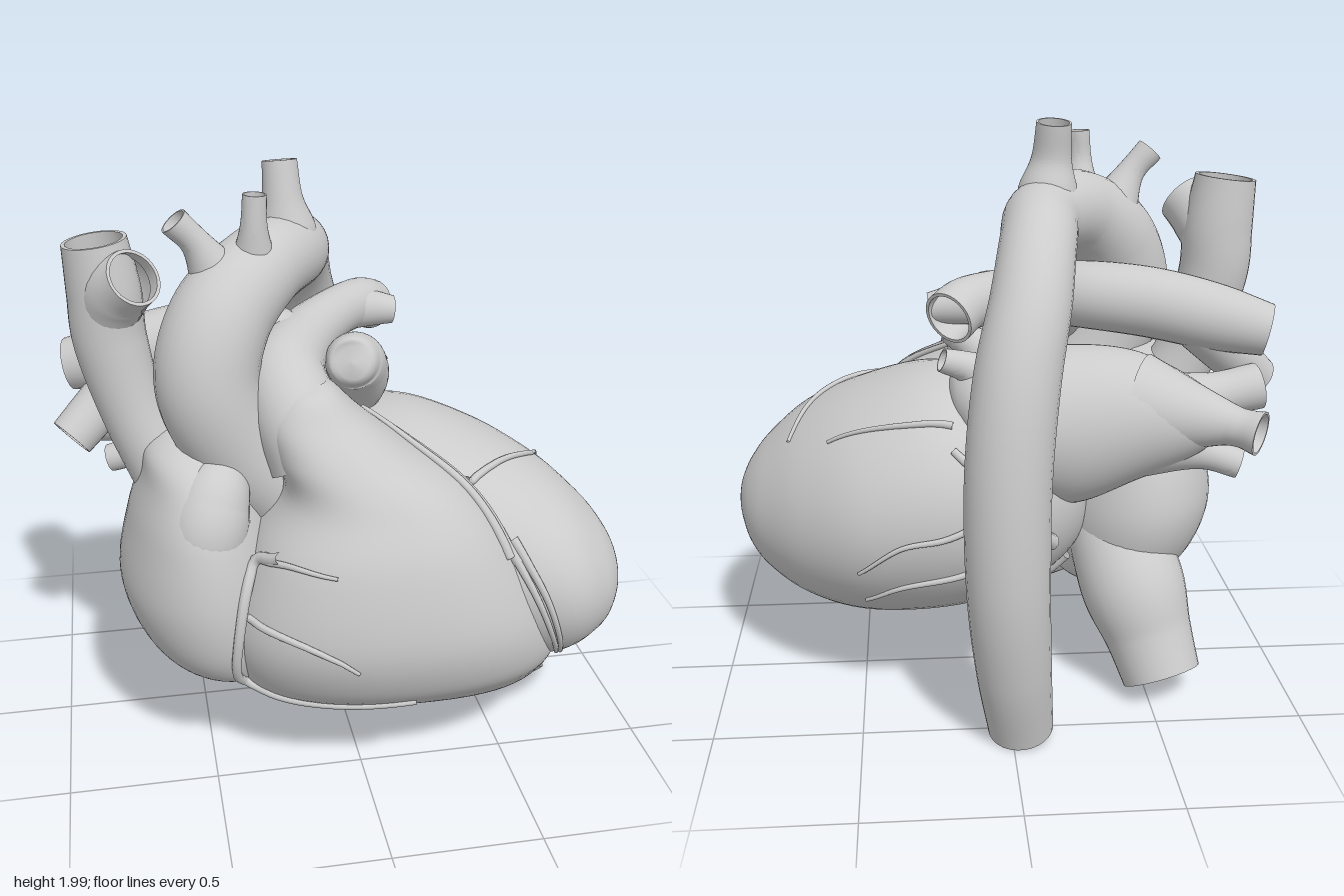
import * as THREE from 'three';
import { toCreasedNormals } from 'three/addons/utils/BufferGeometryUtils.js';

const V = (x, y, z) => new THREE.Vector3(x, y, z);
const smooth = (points) => new THREE.CatmullRomCurve3(points, false, 'catmullrom', 0.5);
const material = new THREE.MeshStandardMaterial({ color: 0xcccccc, side: THREE.DoubleSide });

// Joins closed rings of equal length into a skin
function skin(rings) {
  const n = rings[0].length, pos = [], index = [];
  rings.forEach((ring) => ring.forEach((p) => pos.push(p.x, p.y, p.z)));
  for (let i = 0; i < rings.length - 1; i++) {
    for (let j = 0; j < n; j++) {
      const a = i * n + j, b = i * n + ((j + 1) % n);
      index.push(a, b, a + n, b, b + n, a + n);
    }
  }
  const g = new THREE.BufferGeometry();
  g.setAttribute('position', new THREE.Float32BufferAttribute(pos, 3));
  g.setIndex(index);
  g.computeVertexNormals();
  return g;
}

// Rounded body through sections [station, uMin, uMax, vMin, vMax]
function body(rows, place, power = 2, steps = 66, sides = 56) {
  const low = smooth(rows.map((r) => V(r[0], r[1], r[3])));
  const high = smooth(rows.map((r) => V(r[0], r[2], r[4])));
  const bulge = (c) => Math.sign(c) * Math.abs(c) ** (2 / power);
  const rings = [];
  for (let i = 0; i <= steps; i++) {
    const a = low.getPoint(i / steps), b = high.getPoint(i / steps), ring = [];
    for (let j = 0; j < sides; j++) {
      const t = (j / sides) * Math.PI * 2;
      const u = (a.y + b.y) / 2 + ((b.y - a.y) / 2) * bulge(Math.cos(t));
      const v = (a.z + b.z) / 2 + ((b.z - a.z) / 2) * bulge(Math.sin(t));
      ring.push(place(a.x, u, v));
    }
    rings.push(ring);
  }
  return skin(rings);
}
const alongX = (s, u, v) => V(s, u, v);
const alongY = (s, u, v) => V(u, s, v);

// Vessel of changing radius through [x, y, z, r]; an open end gets a wall and a rim
function vessel(rows, open = true, steps = 12 * rows.length, sides = 28) {
  const path = smooth(rows.map((r) => V(r[0], r[1], r[2])));
  const radius = smooth(rows.map((r) => V(r[3], 0, 0)));
  const frames = path.computeFrenetFrames(steps);
  const ringAt = (i, scale) => {
    const p = path.getPointAt(i / steps);
    const r = radius.getPoint(path.getUtoTmapping(i / steps)).x * scale;
    return Array.from({ length: sides }, (_, j) => {
      const t = (j / sides) * Math.PI * 2;
      return p.clone().addScaledVector(frames.normals[i], r * Math.cos(t))
        .addScaledVector(frames.binormals[i], r * Math.sin(t));
    });
  };
  const rings = [];
  for (let i = 0; i <= steps; i++) rings.push(ringAt(i, 1));
  if (!open) return skin(rings);
  for (let i = steps; i >= steps * 0.8; i--) rings.push(ringAt(i, 0.88));
  return toCreasedNormals(skin(rings), 0.9);
}

export function createModel() {
  const group = new THREE.Group();
  const add = (name, geometry) => {
    const mesh = new THREE.Mesh(geometry, material);
    mesh.name = name;
    group.add(mesh);
    return mesh;
  };

  // Chambers
  const leftVentricle = add('leftVentricle', body([
    [-0.32, 0.69, 0.69, 0.01, 0.01], [-0.28, 0.52, 0.88, -0.2, 0.2], [-0.15, 0.4, 1.03, -0.36, 0.33],
    [0.02, 0.32, 1.12, -0.45, 0.42], [0.25, 0.27, 1.15, -0.48, 0.52], [0.5, 0.25, 1.07, -0.42, 0.61],
    [0.7, 0.275, 0.96, -0.27, 0.63], [0.84, 0.345, 0.835, -0.1, 0.55], [0.91, 0.42, 0.745, 0.02, 0.46],
    [0.945, 0.495, 0.675, 0.13, 0.37], [0.958, 0.55, 0.625, 0.2, 0.3], [0.96, 0.59, 0.59, 0.25, 0.25]], alongX));
  const rightVentricle = add('rightVentricle', body([
    [1.37, -0.17, -0.09, 0.26, 0.36], [1.34, -0.24, -0.05, 0.19, 0.43], [1.26, -0.29, 0.03, 0.15, 0.49],
    [1.15, -0.27, 0.17, 0.13, 0.57], [1.02, -0.24, 0.36, 0.1, 0.65], [0.85, -0.35, 0.5, 0.05, 0.73],
    [0.6, -0.44, 0.64, 0, 0.77], [0.42, -0.43, 0.71, -0.02, 0.72], [0.31, -0.36, 0.71, 0, 0.62],
    [0.24, -0.05, 0.66, 0.05, 0.52], [0.21, 0.2, 0.5, 0.15, 0.42], [0.205, 0.35, 0.35, 0.29, 0.29]], alongY, 2.25));
  const rightAtrium = add('rightAtrium', body([
    [1.18, -0.54, -0.54, 0.18, 0.18], [1.165, -0.61, -0.44, 0.06, 0.3], [1.12, -0.67, -0.37, -0.05, 0.4],
    [1.03, -0.69, -0.34, -0.14, 0.48], [0.88, -0.74, -0.27, -0.25, 0.55], [0.65, -0.78, -0.2, -0.31, 0.58],
    [0.45, -0.71, -0.2, -0.25, 0.54], [0.34, -0.58, -0.22, -0.1, 0.42], [0.3, -0.4, -0.4, 0.12, 0.12]], alongY));
  const rightAuricle = add('rightAuricle', vessel([
    [-0.52, 0.72, 0.38, 0.08], [-0.5, 0.88, 0.41, 0.13], [-0.47, 1.0, 0.38, 0.125],
    [-0.42, 1.08, 0.34, 0.085], [-0.38, 1.12, 0.31, 0]], false));
  add('leftAtrium', body([
    [-0.74, 1.04, 1.04, -0.29, -0.29], [-0.66, 0.92, 1.14, -0.4, -0.15], [-0.45, 0.8, 1.24, -0.42, 0],
    [-0.2, 0.71, 1.26, -0.42, 0.05], [0.05, 0.83, 1.22, -0.39, 0.05], [0.16, 0.98, 1.17, -0.28, 0],
    [0.2, 1.08, 1.08, -0.12, -0.12]], alongX));
  add('leftAuricle', vessel([
    [0.02, 1.08, -0.12, 0.1], [0.08, 1.23, -0.02, 0.105], [0.06, 1.32, 0.07, 0.105],
    [0.035, 1.36, 0.14, 0.095], [0.025, 1.37, 0.19, 0.07], [0.02, 1.375, 0.2, 0]], false));

  // Great vessels
  add('aorta', vessel([
    [-0.2, 0.9, 0.2, 0.15], [-0.37, 1.12, 0.24, 0.16], [-0.46, 1.35, 0.25, 0.17],
    [-0.41, 1.55, 0.2, 0.165], [-0.27, 1.67, 0.08, 0.145], [-0.14, 1.68, -0.1, 0.13],
    [-0.1, 1.63, -0.3, 0.125], [-0.06, 1.47, -0.47, 0.13], [-0.01, 1.25, -0.57, 0.137],
    [0.02, 0.95, -0.625, 0.138], [0.02, 0.6, -0.64, 0.135], [0, 0.3, -0.605, 0.125],
    [-0.03, 0.035, -0.54, 0.11]]));
  const archBranches = [
    [[-0.15, 1.7, -0.07, 0.1], [-0.155, 1.77, -0.07, 0.1], [-0.165, 1.87, -0.07, 0.068], [-0.17, 1.99, -0.09, 0.058]],
    [[-0.29, 1.7, 0.14, 0.08], [-0.29, 1.83, 0.17, 0.045], [-0.285, 1.94, 0.17, 0.038]],
    [[-0.4, 1.66, 0.15, 0.1], [-0.47, 1.79, 0.17, 0.05], [-0.54, 1.87, 0.18, 0.048]]];
  archBranches.forEach((rows) => add('archBranch', vessel(rows)));
  add('upperVein', vessel([
    [-0.57, 0.95, 0.1, 0.13], [-0.69, 1.2, 0.08, 0.11], [-0.755, 1.45, 0.06, 0.12],
    [-0.765, 1.62, 0.06, 0.12], [-0.785, 1.79, 0.06, 0.105]]));
  add('upperVeinBranch', vessel([
    [-0.77, 1.5, 0.06, 0.09], [-0.73, 1.63, 0.11, 0.11], [-0.67, 1.7, 0.19, 0.095]]));
  add('lowerVein', vessel([
    [-0.4, 0.58, -0.05, 0.17], [-0.46, 0.38, -0.19, 0.185], [-0.51, 0.22, -0.26, 0.155],
    [-0.55, 0.085, -0.32, 0.138]]));

  // Pulmonary arteries
  add('pulmonaryTrunk', vessel([
    [-0.14, 1.1, 0.36, 0.14], [-0.185, 1.25, 0.3, 0.145], [-0.2, 1.345, 0.17, 0.135],
    [-0.11, 1.4, 0, 0.105], [0.02, 1.43, -0.16, 0.088], [0.13, 1.43, -0.27, 0.088],
    [0.19, 1.4, -0.34, 0.09]]));
  add('leftArteryBranch', vessel([[0.08, 1.43, -0.22, 0.08], [0.17, 1.42, -0.23, 0.065], [0.25, 1.41, -0.23, 0.05]]));
  add('rightPulmonaryArtery', vessel([
    [-0.13, 1.39, 0.06, 0.1], [-0.28, 1.41, -0.06, 0.115], [-0.5, 1.39, -0.11, 0.12],
    [-0.72, 1.34, -0.13, 0.115], [-0.9, 1.3, -0.17, 0.09]]));
  add('rightArteryBranch', vessel([[-0.66, 1.32, -0.12, 0.09], [-0.79, 1.2, -0.07, 0.085], [-0.91, 1.09, -0.01, 0.078]]));

  // Pulmonary veins
  const veins = [
    [[-0.46, 1.06, -0.24, 0.18], [-0.68, 1.04, -0.35, 0.09], [-0.76, 1.03, -0.4, 0.065], [-0.82, 1.02, -0.44, 0.075]],
    [[-0.46, 1.02, -0.2, 0.17], [-0.7, 1.07, -0.18, 0.085], [-0.88, 1.1, -0.16, 0.08]],
    [[-0.45, 0.96, -0.24, 0.16], [-0.66, 0.91, -0.28, 0.065], [-0.79, 0.87, -0.31, 0.05]],
    [[-0.02, 1.13, -0.1, 0.13], [0.1, 1.25, -0.11, 0.065], [0.18, 1.31, -0.11, 0.048]],
    [[0, 1.1, -0.18, 0.13], [0.11, 1.19, -0.2, 0.06], [0.21, 1.23, -0.22, 0.04]]];
  veins.forEach((rows) => add('pulmonaryVein', vessel(rows)));

  // Coronary vessels: flat paths dropped onto the chambers from one side
  const targets = [leftVentricle, rightVentricle, rightAtrium, rightAuricle];
  const ray = new THREE.Raycaster();
  const sides = {
    front: [(a, b) => V(a, b, 3), V(0, 0, -1)],
    back: [(a, b) => V(a, b, -3), V(0, 0, 1)],
    top: [(a, b) => V(a, 3, b), V(0, -1, 0)],
    below: [(a, b) => V(a, -3, b), V(0, 1, 0)],
  };
  const coronary = (side, points, r = 0.014) => {
    const [start, direction] = sides[side];
    const rows = [];
    smooth(points.map(([a, b]) => V(a, b, 0))).getPoints(18).forEach((p) => {
      ray.set(start(p.x, p.y), direction);
      const hit = ray.intersectObjects(targets, false)[0];
      const q = hit && hit.point.addScaledVector(direction, -0.006);
      if (q) rows.push([q.x, q.y, q.z, r * (1 - 0.03 * rows.length)]);
    });
    if (rows.length > 2) add('coronaryVessel', vessel(rows, false, 50, 8));
  };
  for (const shift of [0, 0.03]) {
    coronary('top', [[0.5 - shift, 0.585], [0.41 - shift, 0.5], [0.29 - shift, 0.4], [0.18 - shift, 0.3], [0.08 - shift, 0.22]], 0.018);
    coronary('front', [[0.49 - shift, 0.86], [0.53 - shift, 0.79], [0.6 - shift, 0.65], [0.69 - shift / 2, 0.4]], 0.018);
  }
  coronary('top', [[0.36, 0.42], [0.5, 0.32], [0.66, 0.18], [0.75, -0.01]]);
  coronary('front', [[-0.28, 0.88], [-0.36, 0.82], [-0.41, 0.65], [-0.42, 0.42], [-0.3, 0.35], [-0.05, 0.33], [0.15, 0.35]], 0.022);
  coronary('front', [[-0.33, 0.85], [-0.25, 0.87], [-0.12, 0.86]]);
  coronary('front', [[-0.41, 0.67], [-0.25, 0.64], [-0.13, 0.59], [-0.06, 0.54]]);
  coronary('below', [[-0.22, -0.18], [0.05, -0.04], [0.35, 0.1], [0.58, 0.3], [0.66, 0.44]], 0.02);
  coronary('back', [[-0.15, 0.62], [-0.03, 0.74], [0.08, 0.88], [0.18, 0.97]], 0.03);
  coronary('back', [[0.02, 0.78], [0.2, 0.7], [0.36, 0.66], [0.5, 0.55]]);
  coronary('back', [[-0.02, 0.62], [0.15, 0.55], [0.35, 0.5], [0.48, 0.42]]);
  coronary('top', [[0.18, -0.33], [0.35, -0.29], [0.6, -0.18]]);
  return group;
}
